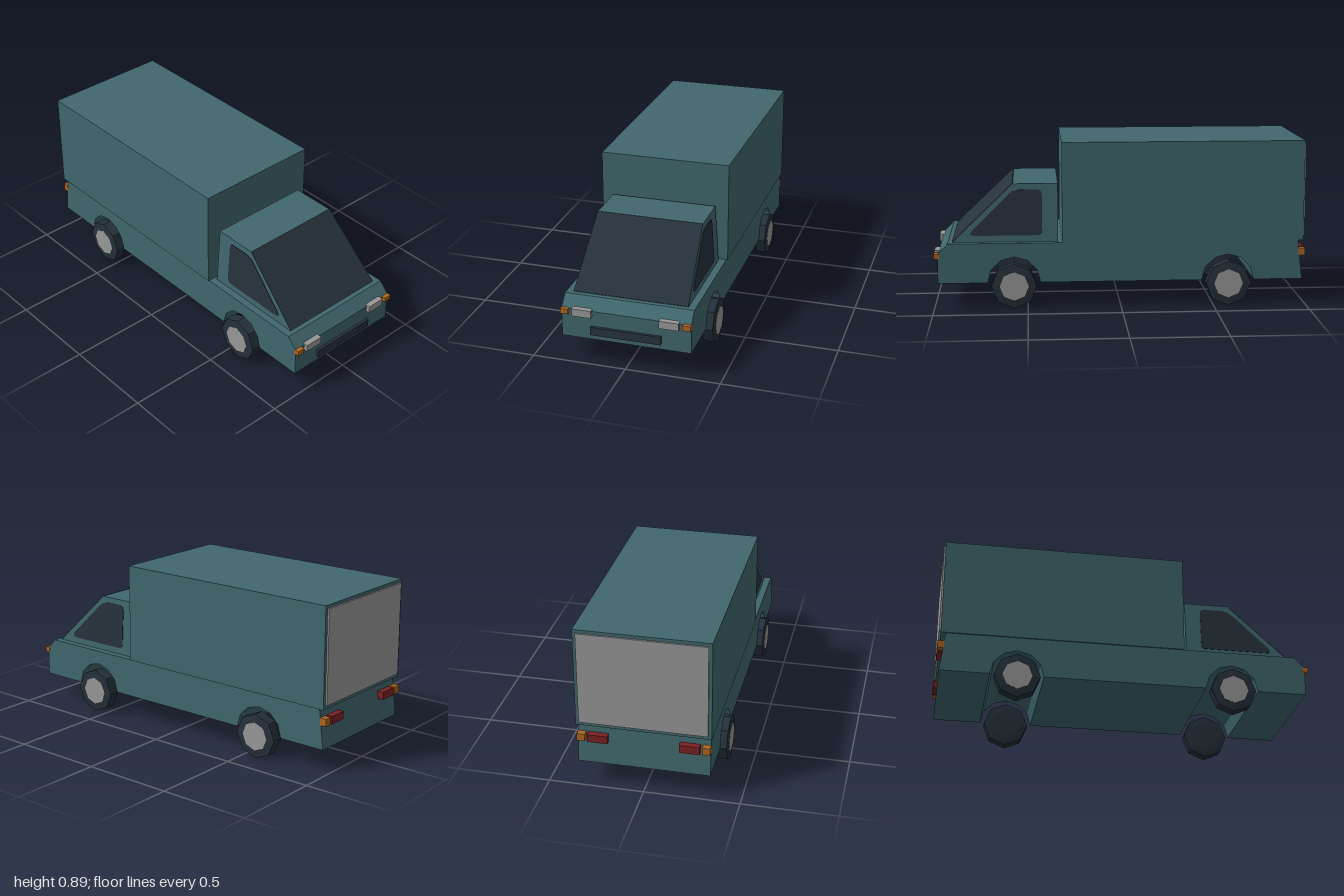
import * as THREE from 'three';

const paint = (name, color) => new THREE.MeshStandardMaterial({ name, color });

export function createModel() {
  const van = new THREE.Group();
  van.name = 'boxVan';
  const teal = paint('tealBody', 0x40676d);
  const dark = paint('darkGlass', 0x27323c);
  const rubber = paint('tyreRubber', 0x25303a);
  const grey = paint('lightGrey', 0x999999);
  const orange = paint('indicatorOrange', 0xb0651f);
  const red = paint('tailRed', 0x7c2022);

  const add = (name, geometry, material, parent = van) => {
    const mesh = new THREE.Mesh(geometry, material);
    mesh.name = name;
    parent.add(mesh);
    return mesh;
  };

  // Box given by its minimum and maximum corners
  const block = (name, material, [x0, y0, z0], [x1, y1, z1]) =>
    add(name, new THREE.BoxGeometry(x1 - x0, y1 - y0, z1 - z0), material)
      .position.set((x0 + x1) / 2, (y0 + y1) / 2, (z0 + z1) / 2);

  // Side profile extruded across the width from z0 to z1
  const slab = (points, z0, z1) => {
    const shape = new THREE.Shape(points.map(([x, y]) => new THREE.Vector2(x, y)));
    return new THREE.ExtrudeGeometry(shape, { depth: z1 - z0, bevelEnabled: false }).translate(0, 0, z0);
  };

  // Narrows the cab towards its roof
  const taper = (geometry) => {
    const p = geometry.attributes.position;
    for (let i = 0; i < p.count; i++) {
      p.setZ(i, p.getZ(i) * (1 - 0.066 * (p.getY(i) - 0.35) / 0.31));
    }
    geometry.computeVertexNormals();
    return geometry;
  };

  // Lower body with wheel arches cut across the full width
  const axles = [-0.58, 0.573];
  const profile = [[-0.985, 0.135]];
  for (const x of axles) {
    for (let i = 0; i <= 6; i++) {
      const a = Math.PI * (1 - i / 6);
      profile.push([x + 0.142 * Math.cos(a), 0.135 + 0.14 * Math.sin(a)]);
    }
  }
  profile.push([0.98, 0.135], [0.98, 0.293], [0.925, 0.35], [-0.96, 0.35]);
  add('lowerBody', slab(profile, -0.343, 0.343), teal);

  // Cargo box and rear door
  block('cargoBox', teal, [-0.987, 0.35, -0.35], [0.315, 0.89, 0.35]);
  block('rearDoor', grey, [-0.996, 0.37, -0.332], [-0.987, 0.872, 0.332]);

  // Cab, windscreen and side windows
  add('cab', taper(slab([[0.335, 0.35], [0.9, 0.35], [0.575, 0.662], [0.335, 0.662]], -0.305, 0.305)), teal);
  add('windscreen', taper(slab([[0.899, 0.351], [0.902, 0.354], [0.578, 0.664], [0.575, 0.661]], -0.305, 0.305)), dark);
  const pane = [[0.435, 0.385], [0.79, 0.385], [0.805, 0.393], [0.797, 0.412], [0.605, 0.6],
    [0.58, 0.62], [0.545, 0.63], [0.44, 0.63], [0.425, 0.622], [0.42, 0.6], [0.42, 0.4]];
  add('leftWindow', taper(slab(pane, -0.308, -0.303)), dark).name = 'rightWindow';
  add('leftWindow', taper(slab(pane, 0.303, 0.308)), dark);

  // Grille and lamps
  block('grille', dark, [0.978, 0.165, -0.187], [0.995, 0.21, 0.187]);
  for (const s of [-1, 1]) {
    const side = s > 0 ? 'left' : 'right';
    const lamp = (name, material, x0, x1, y0, y1, a, b) =>
      block(side + name, material, [x0, y0, Math.min(s * a, s * b)], [x1, y1, Math.max(s * a, s * b)]);
    lamp('Headlight', grey, 0.97, 1, 0.262, 0.303, 0.18, 0.282);
    lamp('FrontIndicator', orange, 0.97, 1, 0.268, 0.296, 0.302, 0.344);
    lamp('RearIndicator', orange, -1, -0.965, 0.264, 0.304, 0.302, 0.344);
    lamp('TailLight', red, -1, -0.965, 0.262, 0.304, 0.185, 0.29);
  }

  // Eight-sided tyres with slightly raised sidewalls and grey hubs
  const ring = [[0, -0.034], [0.08, -0.034], [0.122, -0.029], [0.122, 0.029], [0.08, 0.034], [0, 0.034]];
  const tyre = new THREE.LatheGeometry(ring.map(([r, y]) => new THREE.Vector2(r, y)), 8)
    .rotateX(Math.PI / 2).toNonIndexed();
  tyre.computeVertexNormals();
  const hub = new THREE.CylinderGeometry(0.078, 0.078, 0.004, 8).rotateX(Math.PI / 2);
  for (const x of axles) {
    for (const s of [-1, 1]) {
      const wheel = new THREE.Group();
      wheel.name = (x > 0 ? 'front' : 'rear') + (s > 0 ? 'Left' : 'Right') + 'Wheel';
      wheel.position.set(x, 0.122, s * 0.344);
      add('tyre', tyre, rubber, wheel);
      add('hub', hub, grey, wheel).position.z = s * 0.033;
      van.add(wheel);
    }
  }
  return van;
}
